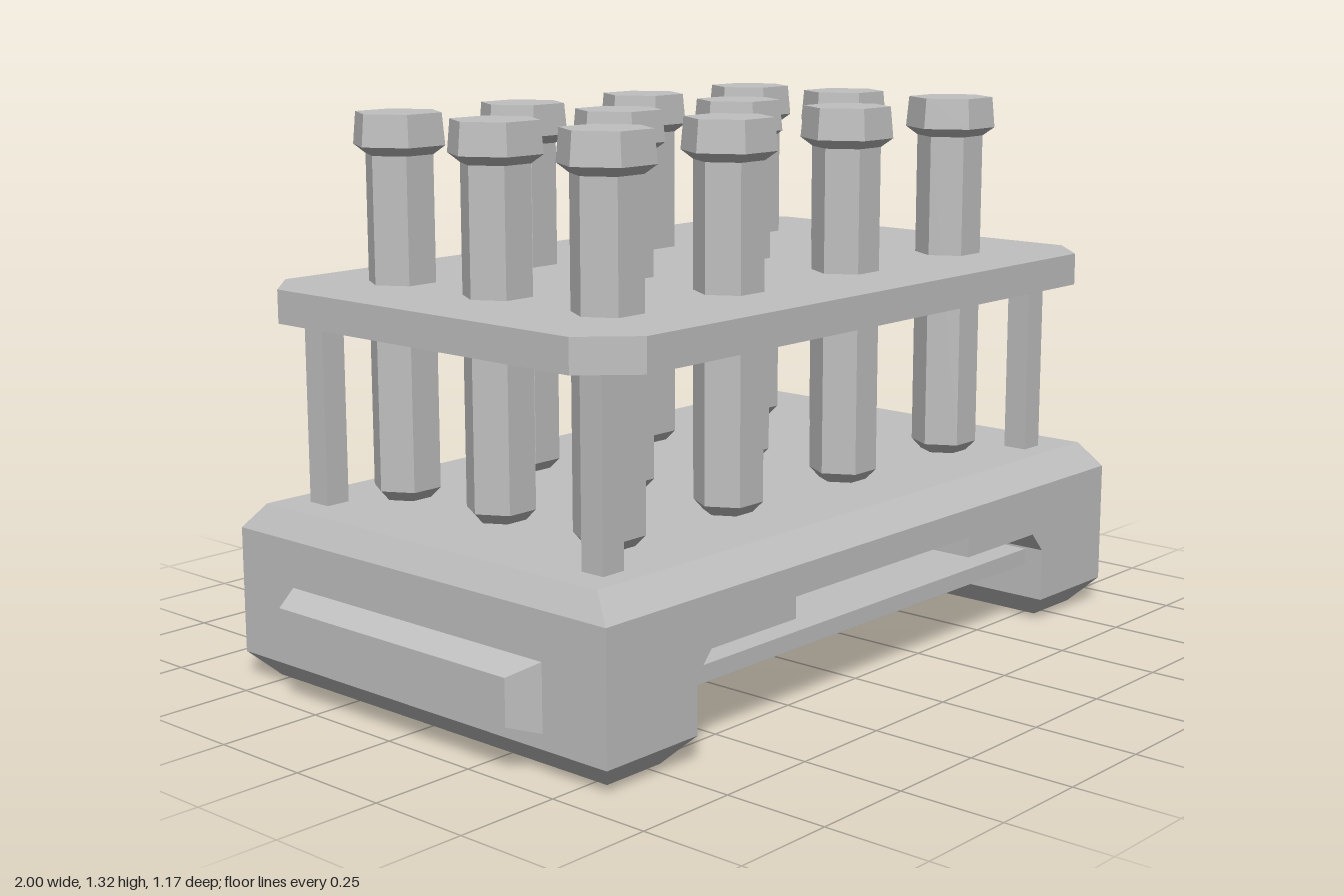
import * as THREE from 'three';

const grey = new THREE.MeshStandardMaterial({ color: 0xc0c0c0, flatShading: true });
grey.name = 'plain grey';

// Tapered block: y runs 0..h, with separate half sizes at the bottom and top.
function taperedBlock(bottomX, bottomZ, topX, topZ, h) {
  const g = new THREE.BoxGeometry(2, h, 2).translate(0, h / 2, 0);
  const p = g.attributes.position;
  for (let i = 0; i < p.count; i++) {
    const top = p.getY(i) > h / 2;
    p.setX(i, p.getX(i) * (top ? topX : bottomX));
    p.setZ(i, p.getZ(i) * (top ? topZ : bottomZ));
  }
  g.computeVertexNormals();
  return g;
}

function shapeFrom(points) {
  return new THREE.Shape(points.map(([x, y]) => new THREE.Vector2(x, y)));
}

export function createModel() {
  const model = new THREE.Group();
  model.name = 'tubeRack';

  const add = (name, geometry, x = 0, y = 0, z = 0) => {
    const mesh = new THREE.Mesh(geometry, grey);
    mesh.name = name;
    mesh.position.set(x, y, z);
    model.add(mesh);
    return mesh;
  };

  // Base: stepped arch profile, mirrored and extruded front to back
  const half = [[0.33, 0.29], [0.33, 0.24], [0.61, 0.24], [0.655, 0.19],
    [0.655, 0.06], [0.93, 0.06], [0.93, 0.36]];
  const mirrored = half.map(([x, y]) => [-x, y]).reverse();
  const arch = new THREE.ExtrudeGeometry(shapeFrom([...half, ...mirrored]),
    { depth: 1.17, bevelEnabled: false });
  add('baseBody', arch, 0, 0, -0.585);
  add('baseTop', taperedBlock(0.93, 0.585, 0.897, 0.53, 0.06), 0, 0.36, 0);

  // Thin shelf hung between the feet
  add('lowerShelf', new THREE.BoxGeometry(1.31, 0.04, 1.07), 0, 0.165, 0);

  // Feet and side grips
  for (const s of [1, -1]) {
    const side = s > 0 ? 'left' : 'right';
    add(side + 'Foot', taperedBlock(0.08, 0.53, 0.1375, 0.585, 0.06), s * 0.7925, 0, 0);
    const grip = add(side + 'Grip', taperedBlock(0.0775, 0.402, 0.053, 0.365, 0.07),
      s * 0.93, 0.172, 0);
    grip.rotation.z = -s * Math.PI / 2;
  }

  // Posts carrying the upper plate
  for (const x of [-0.79, 0.765]) {
    for (const z of [-0.435, 0.443]) {
      add('post', new THREE.BoxGeometry(0.062, 0.44, 0.062), x, 0.635, z);
    }
  }

  // Upper plate with clipped corners
  const plate = new THREE.ExtrudeGeometry(shapeFrom([
    [0.79, -0.57], [0.9, -0.46], [0.9, 0.46], [0.79, 0.57],
    [-0.79, 0.57], [-0.9, 0.46], [-0.9, -0.46], [-0.79, -0.57],
  ]), { depth: 0.078, bevelEnabled: false }).rotateX(-Math.PI / 2);
  add('upperPlate', plate, 0, 0.85, 0);

  // Capped hexagonal tubes in a 4 by 3 grid
  const tubeProfile = [[0, 0.418], [0.055, 0.418], [0.081, 0.445], [0.081, 1.222],
    [0.11, 1.243], [0.103, 1.317], [0, 1.317]].map(([r, y]) => new THREE.Vector2(r, y));
  const tube = new THREE.LatheGeometry(tubeProfile, 6, Math.PI / 2);
  for (const x of [-0.632, -0.24, 0.185, 0.605]) {
    for (const z of [-0.342, -0.025, 0.311]) add('tube', tube, x, 0, z);
  }

  return model;
}
